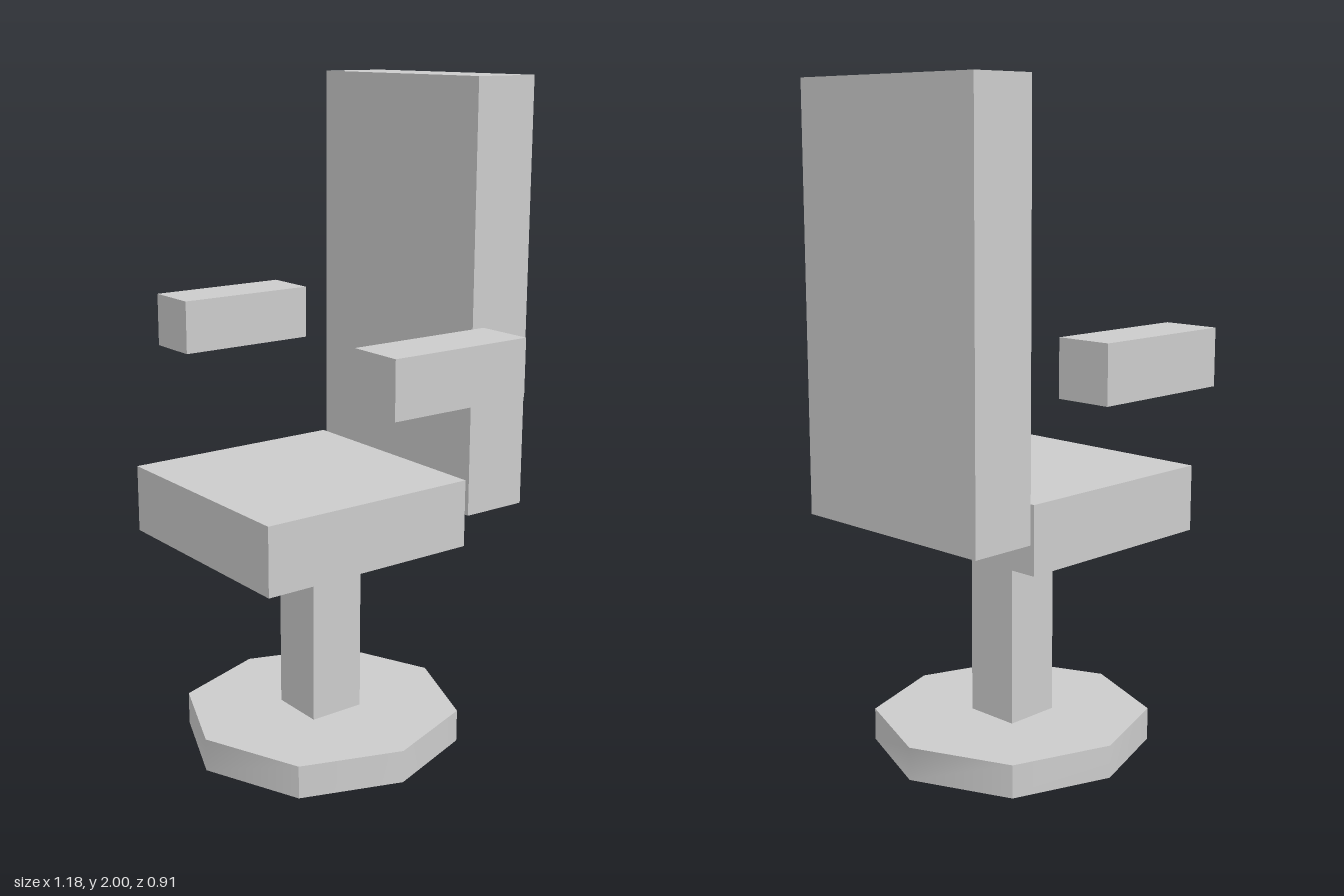
import * as THREE from 'three';
import { mergeGeometries } from 'three/addons/utils/BufferGeometryUtils.js';

const material = new THREE.MeshStandardMaterial({ color: 0xcccccc });

// Box given by its minimum and maximum corners
function box(name, [x0, y0, z0], [x1, y1, z1]) {
  const mesh = new THREE.Mesh(new THREE.BoxGeometry(x1 - x0, y1 - y0, z1 - z0), material);
  mesh.position.set((x0 + x1) / 2, (y0 + y1) / 2, (z0 + z1) / 2);
  mesh.name = name;
  return mesh;
}

// Eight-sided disc: four softly bent walls with hard seams between them, and two caps
function baseGeometry(radius, height) {
  const pieces = [];
  for (let k = 0; k < 4; k++) {
    pieces.push(new THREE.CylinderGeometry(radius, radius, height, 2, 1, true, (k - 0.5) * Math.PI / 2, Math.PI / 2));
  }
  for (const side of [1, -1]) {
    pieces.push(new THREE.CircleGeometry(radius, 8).rotateX(-side * Math.PI / 2).translate(0, side * height / 2, 0));
  }
  for (const piece of pieces) {
    const p = piece.attributes.position;
    // The two side corners are pulled in slightly
    for (let i = 0; i < p.count; i++) {
      if (Math.abs(p.getZ(i)) < 0.01) p.setX(i, p.getX(i) * 0.955);
    }
    piece.computeVertexNormals();
  }
  return mergeGeometries(pieces);
}

export function createModel() {
  const chair = new THREE.Group();
  chair.name = 'chair';

  // Foot and column
  const base = new THREE.Mesh(baseGeometry(0.422, 0.1), material);
  base.name = 'base';
  base.position.set(0, 0.05, 0.03);
  chair.add(base);
  chair.add(box('column', [-0.086, 0.1, -0.055], [0.086, 0.656, 0.121]));

  // Seat and backrest
  chair.add(box('seat', [-0.347, 0.656, -0.236], [0.347, 0.858, 0.457]));
  chair.add(box('backrest', [-0.347, 0.747, -0.457], [0.347, 2, -0.249]));

  // Floating armrests
  chair.add(box('leftArmrest', [0.422, 1.158, -0.221], [0.591, 1.322, 0.23]));
  chair.add(box('rightArmrest', [-0.591, 1.158, -0.221], [-0.422, 1.322, 0.23]));

  return chair;
}
